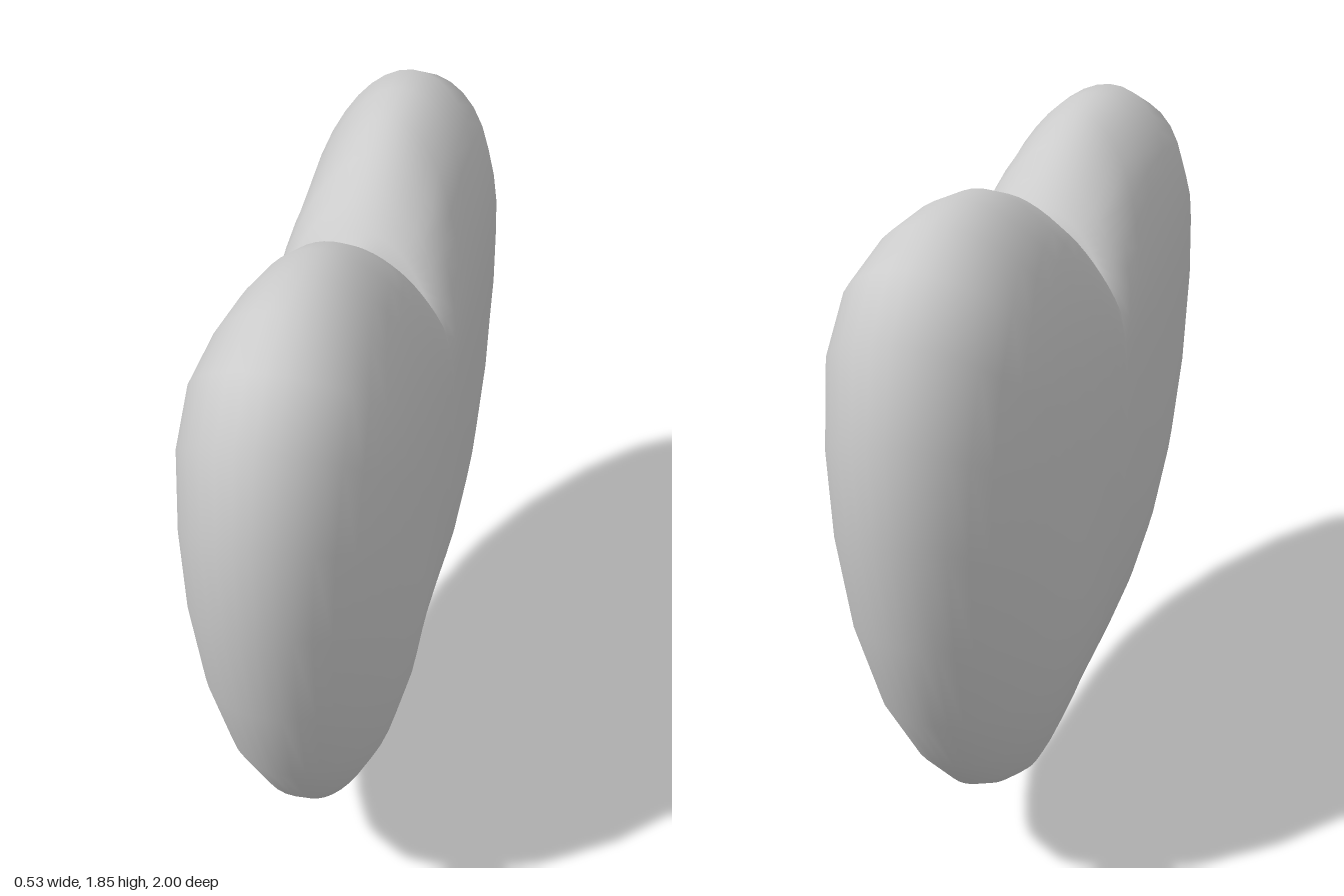
import * as THREE from 'three';

// Outline of one lobe as (z, y), from the bottom tip round to the top notch;
// the last points carry it on past the notch, inside the other lobe.
const OUTLINE = [
  [0, 0], [0.07, 0.025], [0.2, 0.09], [0.4, 0.2], [0.565, 0.31], [0.71, 0.46], [0.85, 0.67],
  [0.945, 0.93], [1, 1.21], [1, 1.45], [0.95, 1.66], [0.845, 1.78], [0.7, 1.84],
  [0.54, 1.85], [0.38, 1.83], [0.25, 1.785], [0.14, 1.725], [0.06, 1.66], [0, 1.605],
  [-0.15, 1.47], [-0.35, 1.32], [-0.55, 1.2],
].map(([z, y]) => new THREE.Vector3(0, y, z));
const NOTCH = 18;        // index of the notch
const RINGS = 14;        // samples from rim to middle seam
const HALF_THICKNESS = 0.265;

const smooth = THREE.MathUtils.smoothstep;

// Shortest distance from p to the outline
function rimDistance(p) {
  let best = Infinity;
  const ab = new THREE.Vector3(), ap = new THREE.Vector3();
  for (let i = 0; i < OUTLINE.length - 1; i++) {
    ab.subVectors(OUTLINE[i + 1], OUTLINE[i]);
    ap.subVectors(p, OUTLINE[i]);
    const t = THREE.MathUtils.clamp(ap.dot(ab) / ab.lengthSq(), 0, 1);
    best = Math.min(best, ap.addScaledVector(ab, -t).length());
  }
  return best;
}

// Half thickness: a round rim that levels out, tapering to the bottom tip
function thickness(p) {
  const notchPull = 0.25 * smooth(p.y, 1.0, 1.45) * (1 - smooth(p.z, 0, 0.4));
  const radius = 0.5 - notchPull - 0.1 * smooth(p.z, 0.4, 0.9);
  const inward = 1 - Math.min(rimDistance(p) / radius, 1);
  const tipPull = 0.75 * (1 - 0.6 * smooth(p.z, 0, 0.6));
  const taper = 1 - tipPull * Math.max(0, 1 - p.y / 1.2) ** 2;
  return HALF_THICKNESS * taper * Math.sqrt(1 - inward * inward);
}

function lobeGeometry() {
  const cols = RINGS * 2;
  const notchY = OUTLINE[NOTCH].y;
  const positions = [], index = [];

  // Each row runs from the seam, over the rim, and back to the seam
  for (let i = 0; i <= NOTCH; i++) {
    const seam = new THREE.Vector3(0, notchY * i / NOTCH, 0);
    for (let j = 0; j <= cols; j++) {
      const v = j / RINGS - 1;
      const p = OUTLINE[i].clone().lerp(seam, v * v);
      positions.push(Math.sign(v) * thickness(p), p.y, p.z);
      if (i < NOTCH && j < cols) {
        const a = i * (cols + 1) + j, b = a + cols + 1;
        index.push(a, a + 1, b, a + 1, b + 1, b);
      }
    }
  }
  const geometry = new THREE.BufferGeometry();
  geometry.setAttribute('position', new THREE.Float32BufferAttribute(positions, 3));
  geometry.setIndex(index);
  geometry.computeVertexNormals();
  return geometry;
}

export function createModel() {
  const heart = new THREE.Group();
  heart.name = 'heart';
  const material = new THREE.MeshStandardMaterial({ color: 0xcccccc });
  const geometry = lobeGeometry();

  // Two matching lobes, back to back along the middle seam
  ['frontLobe', 'backLobe'].forEach((name, i) => {
    const lobe = new THREE.Mesh(geometry, material);
    lobe.name = name;
    lobe.rotation.y = i * Math.PI;
    heart.add(lobe);
  });
  return heart;
}
